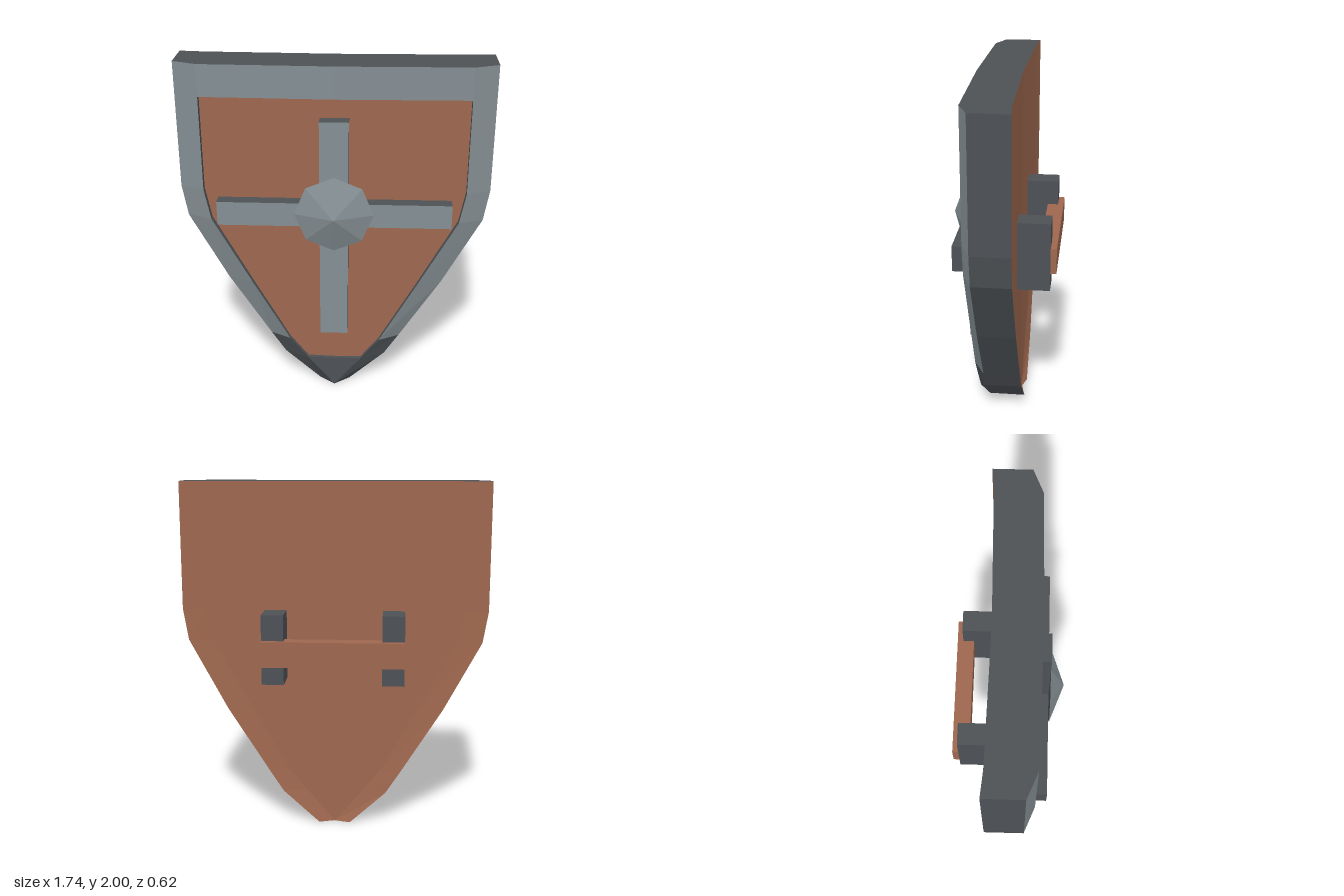
import * as THREE from 'three';

const mat = (name, color, opts = {}) => {
  const m = new THREE.MeshStandardMaterial({ color, flatShading: true, ...opts });
  m.name = name;
  return m;
};

// Half outline rows, top to bottom: height, outer edge x, inner rim edge x
const ROWS = [
  [2.0, 0.87, 0.735], [1.82, 0.87, 0.735], [1.28, 0.87, 0.735], [1.1, 0.84, 0.7],
  [0.7, 0.625, 0.48], [0.32, 0.385, 0.265], [0.19, 0.3, 0.16], [0, 0.09, 0],
];

// The board is gently bowed: depths fall off away from the centre line
const rimZ = (x) => 0.17 - 0.02 * x;
const panelZ = (x) => 0.15 - 0.045 * x;
const backZ = (x) => -0.085 - 0.02 * x;
const EDGE_FRONT = 0.1, EDGE_BACK = -0.112;

// Collects mirrored quads (counter-clockwise on the +x half) into one mesh
class Surface {
  constructor() { this.pos = []; }
  quad(a, b, c, d) {
    for (const s of [1, -1]) {
      const q = [a, b, c, d].map((p) => new THREE.Vector3(p[0] * s, p[1], p[2]));
      if (s < 0) q.reverse();
      for (const [i, j, k] of [[0, 1, 2], [0, 2, 3]]) {
        const t = new THREE.Triangle(q[i], q[j], q[k]);
        if (t.getArea() > 1e-7) for (const v of [t.a, t.b, t.c]) this.pos.push(v.x, v.y, v.z);
      }
    }
  }
  mesh(name, material) {
    const g = new THREE.BufferGeometry();
    g.setAttribute('position', new THREE.Float32BufferAttribute(this.pos, 3));
    g.computeVertexNormals();
    const m = new THREE.Mesh(g, material);
    m.name = name;
    return m;
  }
}

export function createModel() {
  const root = new THREE.Group();
  root.name = 'shield';
  const wood = mat('wood', 0x9e674e);
  const steel = mat('steel', 0x848e93);
  const iron = mat('darkIron', 0x4d5155);

  const rim = new Surface(), tip = new Surface(), walls = new Surface();
  const panel = new Surface(), back = new Surface();

  // Named corner points of each row
  const pts = ROWS.map(([y, xo, xi]) => ({
    of: [xo, y, EDGE_FRONT], ob: [xo, y, EDGE_BACK],
    rf: [xi, y, rimZ(xi)], cf: [0, y, rimZ(0)],
    pf: [xi, y, panelZ(xi)], pc: [0, y, panelZ(0)],
    ib: [xi, y, backZ(xi)], cb: [0, y, backZ(0)],
  }));
  const last = pts.length - 1;

  for (let i = 0; i < last; i++) {
    const r = pts[i], q = pts[i + 1];
    // Bevelled rim, with a dark iron tip at the bottom
    const front = i >= 5 ? tip : rim;
    front.quad(q.rf, q.of, r.of, r.rf);
    if (i === 0 || i === last - 1) front.quad(q.cf, q.rf, r.rf, r.cf);
    else {
      // Recessed panel and the small step around it
      panel.quad(q.pc, q.pf, r.pf, r.pc);
      walls.quad(q.pf, q.rf, r.rf, r.pf);
    }
    // Outer wall and back
    walls.quad(q.of, q.ob, r.ob, r.of);
    back.quad(r.ib, r.ob, q.ob, q.ib);
    back.quad(r.cb, r.ib, q.ib, q.cb);
  }

  // Top and bottom closing walls
  const t = pts[0], b = pts[last];
  walls.quad(t.rf, t.of, t.ob, t.ib);
  walls.quad(t.cf, t.rf, t.ib, t.cb);
  walls.quad(b.ib, b.ob, b.of, b.rf);
  // Steps at the top and bottom of the recess
  const u = pts[1], l = pts[last - 1];
  walls.quad(u.pc, u.pf, u.rf, u.cf);
  walls.quad(l.cf, l.rf, l.pf, l.pc);

  root.add(
    rim.mesh('rim', steel), tip.mesh('rimTip', iron), walls.mesh('rimWalls', iron),
    panel.mesh('frontPanel', wood), back.mesh('backPanel', wood),
  );

  // Cross straps: one plus-shaped bar with steel face and dark sides
  const plus = new THREE.Shape([
    [-0.08, 0.4], [0.08, 0.4], [0.08, 1.095], [0.655, 1.095], [0.655, 1.235], [0.08, 1.235],
    [0.08, 1.71], [-0.08, 1.71], [-0.08, 1.235], [-0.655, 1.235], [-0.655, 1.095], [-0.08, 1.095],
  ].map(([x, y]) => new THREE.Vector2(x, y)));
  const cross = new THREE.Mesh(
    new THREE.ExtrudeGeometry(plus, { depth: 0.075, bevelEnabled: false }), [steel, iron]);
  cross.name = 'crossStraps';
  cross.position.z = 0.145;
  root.add(cross);

  // Eight-sided pointed boss
  const boss = new THREE.Mesh(new THREE.ConeGeometry(0.222, 0.082, 8), [steel, steel, iron]);
  boss.name = 'boss';
  boss.rotation.x = Math.PI / 2;
  boss.position.set(0, 1.173, 0.268);
  root.add(boss);

  // Rear grip on two mounts
  const box = (name, w, h, d, x, y, z, material) => {
    const m = new THREE.Mesh(new THREE.BoxGeometry(w, h, d), material);
    m.name = name;
    m.position.set(x, y, z);
    root.add(m);
  };
  for (const s of [1, -1])
    box(s > 0 ? 'leftGripMount' : 'rightGripMount', 0.125, 0.395, 0.2, s * 0.3375, 1.077, -0.175, iron);
  box('grip', 0.8, 0.145, 0.095, 0, 1.057, -0.261, wood);

  return root;
}
